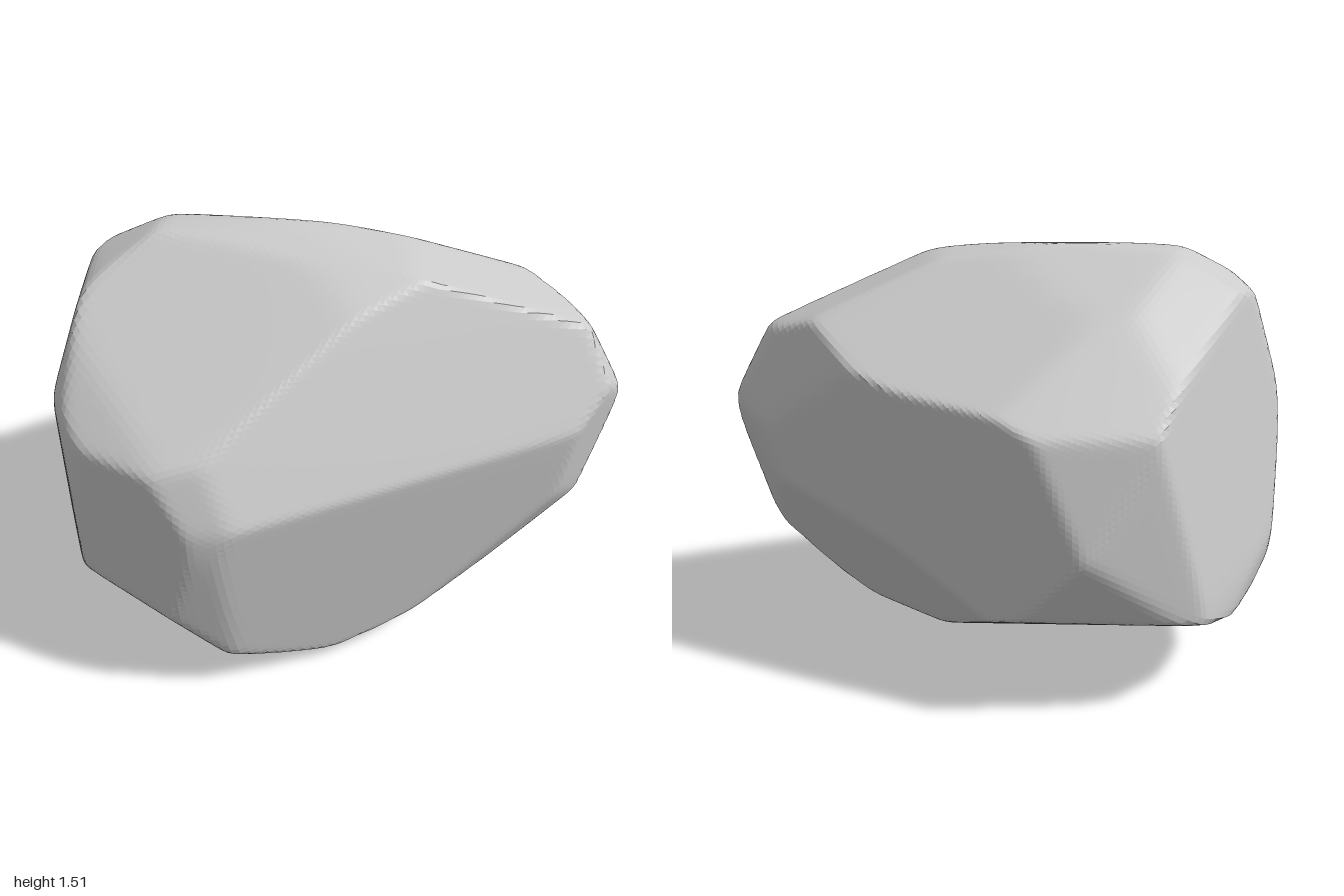
import * as THREE from 'three';

// The stone is carved out of space by flat cuts, measured from its middle.
const MID = 0.76;
const planes = [];

// One broad broken face, by its outward direction and distance.
function cutFace(x, y, z, distance) {
  planes.push({ normal: new THREE.Vector3(x, y, z).normalize(), distance });
}

// A prism of cuts: every edge of a convex outline, drawn across the given direction, becomes a plane.
function cutOutline(turnDeg, tiltDeg, points) {
  const turn = THREE.MathUtils.degToRad(turnDeg), tilt = THREE.MathUtils.degToRad(tiltDeg);
  const across = new THREE.Vector3(Math.cos(turn), 0, -Math.sin(turn));
  const up = new THREE.Vector3(
    -Math.sin(tilt) * Math.sin(turn), Math.cos(tilt), -Math.sin(tilt) * Math.cos(turn));
  points.forEach(([x0, y0], i) => {
    const [x1, y1] = points[(i + 1) % points.length];
    const edge = new THREE.Vector2(y1 - y0, x0 - x1).normalize();
    const distance = edge.x * x0 + edge.y * y0;
    const side = Math.sign(distance);
    const normal = across.clone().multiplyScalar(edge.x * side).addScaledVector(up, edge.y * side);
    planes.push({ normal, distance: distance * side });
  });
}

// Front outline
cutOutline(0, 0, [
  [-1, -0.31], [-0.95, 0.26], [-0.83, 0.61], [-0.6, 0.74], [-0.2, 0.765], [0.25, 0.7], [0.88, 0.44],
  [1.005, 0.17], [0.96, -0.19], [0.8, -0.4], [0, -0.74], [-0.25, -0.765], [-0.85, -0.49]]);
// Side outline
cutOutline(-90, 0, [
  [-0.1, 0.765], [0.15, 0.72], [0.42, 0.57], [0.67, 0.29], [0.757, 0.04], [0.66, -0.56], [0.52, -0.71],
  [0.3, -0.765], [0.08, -0.75], [-0.65, -0.39], [-0.757, -0.11], [-0.68, 0.27], [-0.3, 0.67]]);
// Plan outline
cutOutline(0, -90, [
  [-0.22, -0.76], [0.4, -0.46], [0.92, -0.08], [1.005, 0.1], [0.9, 0.26], [-0.3, 0.745], [-0.47, 0.745],
  [-0.87, 0.51], [-1, 0.1], [-0.93, -0.26], [-0.64, -0.62]]);
// Slanting outlines that take off the corners
cutOutline(35, 25, [
  [-1.03, 0.01], [-0.97, 0.36], [-0.79, 0.67], [-0.61, 0.8], [-0.37, 0.86], [-0.19, 0.83], [0.64, 0.37],
  [0.79, -0.1], [0.67, -0.5], [0.15, -0.76], [-0.3, -0.81], [-0.66, -0.68], [-1, -0.22]]);
cutOutline(-145, 25, [
  [-0.19, 0.78], [0.01, 0.755], [0.84, 0.35], [0.98, 0.23], [1.03, -0.1], [0.99, -0.41], [0.58, -0.71],
  [0.39, -0.76], [0.17, -0.74], [-0.42, -0.54], [-0.75, 0.08], [-0.79, 0.42], [-0.65, 0.65]]);
cutOutline(145, -28, [
  [-0.87, 0.4], [-0.75, 0.6], [-0.46, 0.7], [-0.08, 0.715], [0.54, 0.56], [0.75, 0.42], [0.9, -0.38],
  [0.85, -0.57], [0.38, -0.79], [-0.01, -0.895], [-0.17, -0.895], [-0.39, -0.74], [-0.79, -0.04]]);
// Front face, front shoulder and underside
cutFace(0.37, -0.13, 0.92, 0.55);
cutFace(0.32, 0.42, 0.85, 0.56);
cutFace(0.3, -0.87, -0.38, 0.665);

// Move each point of a sphere to the nearest cut in its direction, softening where cuts meet.
function carveStone() {
  const geometry = new THREE.IcosahedronGeometry(1, 44);
  const position = geometry.attributes.position;
  const point = new THREE.Vector3();
  const sharpness = 130;
  for (let i = 0; i < position.count; i++) {
    point.fromBufferAttribute(position, i).normalize();
    let sum = 0;
    for (const { normal, distance } of planes) {
      sum += Math.max(0, normal.dot(point) / distance) ** sharpness;
    }
    point.multiplyScalar(sum ** (-1 / sharpness));
    position.setXYZ(i, point.x, point.y, point.z);
  }
  geometry.computeVertexNormals();
  return geometry;
}

export function createModel() {
  const group = new THREE.Group();
  group.name = 'boulder';
  const material = new THREE.MeshStandardMaterial({ color: 0xcccccc, flatShading: true });
  const stone = new THREE.Mesh(carveStone(), material);
  stone.name = 'stone';
  stone.position.y = MID;
  group.add(stone);
  return group;
}
